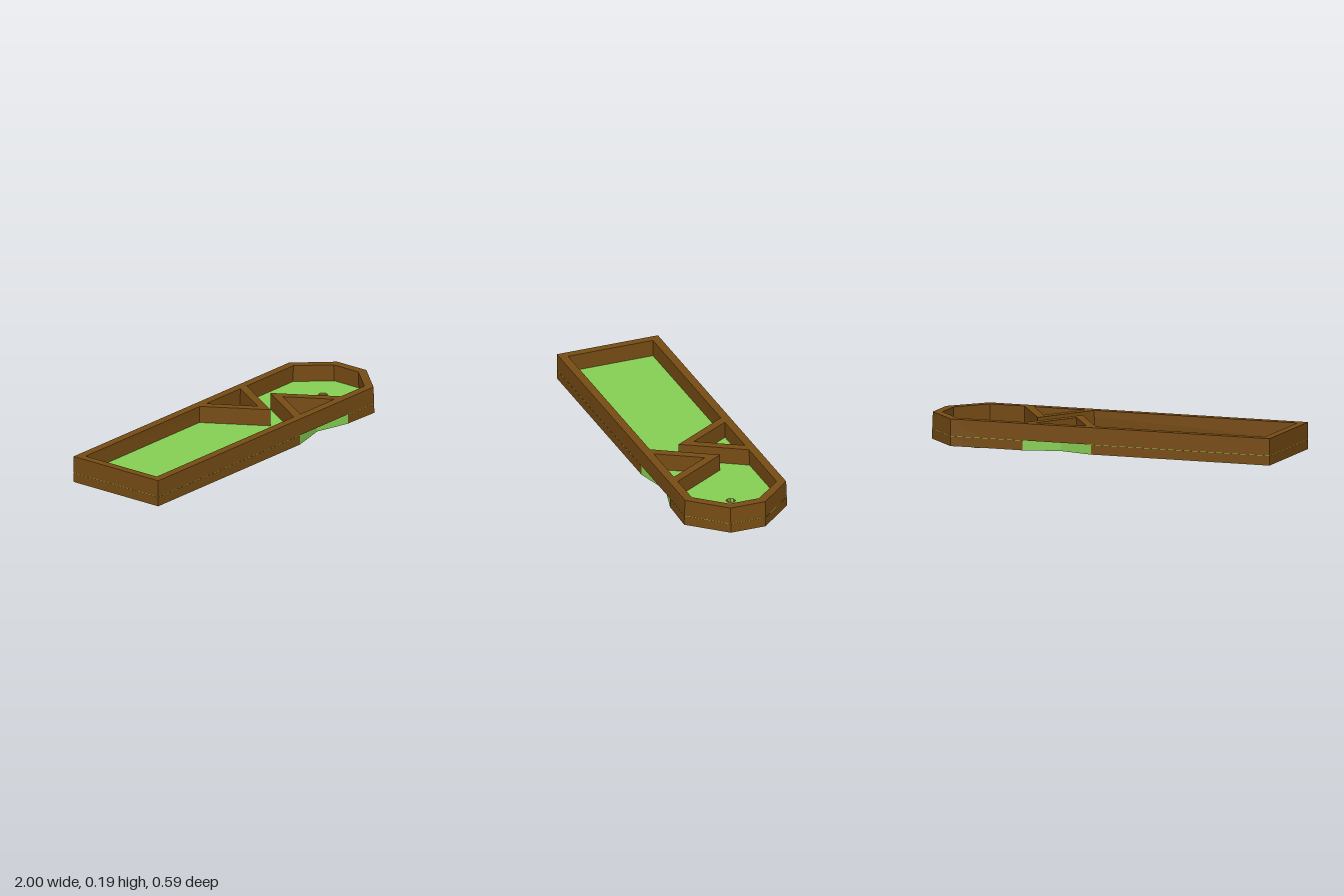
import * as THREE from 'three';

const TOP = 0.187, FLOOR = 0.095, BASE = 0.041;
const brown = new THREE.MeshStandardMaterial({ color: 0x774c14, flatShading: true });
const green = new THREE.MeshStandardMaterial({ color: 0x86cf54, flatShading: true });
const grey = new THREE.MeshStandardMaterial({ color: 0xcccccc, side: THREE.DoubleSide });

const toPoints = (list) => list.map(([x, z]) => new THREE.Vector2(x, z));

// Plan shape (x, z) extruded vertically; the pointed end flares slightly towards the ground.
function slab(name, material, outline, bottom, top, holes = []) {
  const shape = new THREE.Shape(toPoints(outline));
  for (const h of holes) shape.holes.push(h);
  const g = new THREE.ExtrudeGeometry(shape, { depth: top - bottom, bevelEnabled: false });
  g.rotateX(Math.PI / 2).translate(0, top, 0);
  const p = g.attributes.position;
  for (let i = 0; i < p.count; i++) {
    const x = p.getX(i), z = p.getZ(i);
    if (x < 0.7 || Math.hypot(x - 0.75, z) < 0.05) continue;
    const flare = 0.006 * (TOP - p.getY(i)) / (TOP - BASE);
    p.setX(i, x + (x > 0.9 ? flare : 0));
    p.setZ(i, z + (Math.abs(z) > 0.2 ? Math.sign(z) * flare : 0));
  }
  g.computeVertexNormals();
  const mesh = new THREE.Mesh(g, material);
  mesh.name = name;
  return mesh;
}

// Outer plan of the course, with an optional notch cut into each long side.
function plan(w, frontNotch = [], backNotch = [], inset = 0) {
  return [
    [-1 + inset, -w], ...backNotch, [0.64, -w], [0.82, -w], [0.994 - inset, -0.1],
    [0.994 - inset, 0.1], [0.82, w], [0.64, w], ...frontNotch, [-1 + inset, w],
  ];
}

export function createModel() {
  const group = new THREE.Group();
  group.name = 'miniGolfCourse';

  // Border wall above the floor
  const inner = new THREE.Path(toPoints([
    [-0.955, -0.244], [0.8, -0.244], [0.945, -0.085],
    [0.945, 0.085], [0.8, 0.244], [-0.955, 0.244],
  ]));
  group.add(slab('borderWall', brown, plan(0.291), FLOOR, TOP, [inner]));

  // Lower border with a slot under each long side
  const w = 0.291, d = 0.225;
  const cup = () => new THREE.Path().absarc(0.75, 0, 0.025, 0, Math.PI * 2, true);
  group.add(slab('lowerBorder', brown, plan(w,
    [[0.605, w], [0.605, d], [0.2, d], [0.2, w]],
    [[0.02, -w], [0.02, -d], [0.41, -d], [0.41, -w]]), BASE + 0.002, FLOOR - 0.002, [cup()]));

  // Playing floor, notched in a shallow V at the slots, with the cup hole
  const f = 0.29;
  group.add(slab('floor', green, plan(f,
    [[0.605, f], [0.41, 0.237], [0.2, f]],
    [[0.02, -f], [0.21, -0.237], [0.41, -f]], 0.001), BASE, FLOOR, [cup()]));

  // V-shaped obstacles on opposite sides
  for (const [name, cx, s] of [['frontObstacle', 0.403, 1], ['backObstacle', 0.208, -1]]) {
    const v = [[-0.203, 0.25], [0, -0.08], [0.203, 0.25], [0.147, 0.25], [0, 0.008], [-0.147, 0.25]];
    group.add(slab(name, brown, v.map(([x, z]) => [cx + x, s * z]), FLOOR - 0.01, TOP));
  }

  // Cup below the floor
  const cupMesh = new THREE.Mesh(new THREE.LatheGeometry(toPoints([
    [0, 0], [0.073, 0], [0.073, 0], [0.073, 0.045], [0.073, 0.045],
    [0.025, 0.045], [0.025, 0.045], [0.025, 0.02], [0.025, 0.02], [0, 0.02],
  ]), 32), grey);
  cupMesh.position.x = 0.75;
  cupMesh.name = 'cup';
  group.add(cupMesh);

  return group;
}
